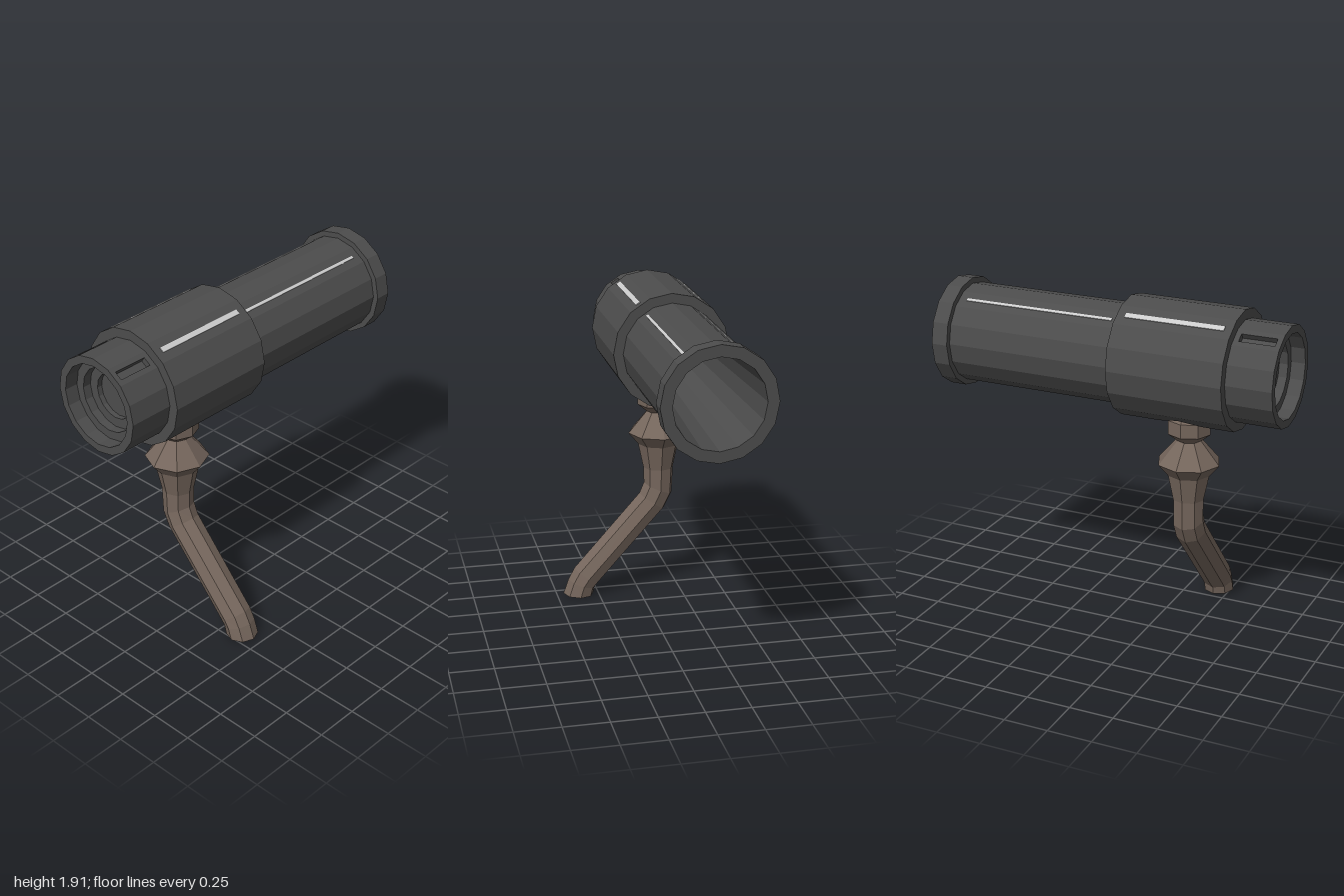
import * as THREE from 'three';

const AXIS_Y = 1.575, AXIS_Z = -0.125;   // barrel axis, running along x
const HANDLE_X = -0.43;
const SIDES = 16, STEP = Math.PI * 2 / SIDES;
const TUBE_R = 0.28, SLEEVE_R = 0.335;

const mat = (color, side = THREE.FrontSide) =>
  new THREE.MeshStandardMaterial({ color, flatShading: true, side });

// Collects quads (four [x,y,z] corners, counter-clockwise) into a geometry
function quadGeometry(quads) {
  const pos = [];
  for (const [a, b, c, d] of quads) pos.push(...a, ...b, ...c, ...a, ...c, ...d);
  const g = new THREE.BufferGeometry();
  g.setAttribute('position', new THREE.Float32BufferAttribute(pos, 3));
  g.computeVertexNormals();
  return g;
}

export function createModel() {
  const model = new THREE.Group();
  model.name = 'spyglassOnHandle';
  const metal = mat(0x4c4c4c), metalOpen = mat(0x4c4c4c, THREE.DoubleSide);
  const wood = mat(0x75665c), light = mat(0xcccccc);

  const barrel = new THREE.Group();
  barrel.name = 'barrel';
  barrel.position.set(0, AXIS_Y, AXIS_Z);
  model.add(barrel);

  const add = (parent, name, geometry, material) => {
    const m = new THREE.Mesh(geometry, material);
    m.name = name;
    parent.add(m);
    return m;
  };
  // Turned part along x from [radius, x] points
  const turned = (name, pts) => add(barrel, name,
    new THREE.LatheGeometry(pts.map(p => new THREE.Vector2(...p)), SIDES).rotateZ(-Math.PI / 2), metal);

  // Stepped eyepiece recess
  turned('eyepiece', [[0, -0.84], [0.13, -0.84], [0.13, -0.87], [0.185, -0.87],
    [0.185, -0.92], [0.235, -0.92], [0.235, -1], [TUBE_R, -1]]);
  // Main tube, muzzle ring and tapered bore
  turned('mainTube', [[TUBE_R, -0.74], [TUBE_R, 0.905], [0.312, 0.905], [0.312, 1],
    [0.248, 1], [0.193, -0.2], [0, -0.2]]);

  // Rear barrel end: flat panels, two of them with a slot
  const x0 = -1, x1 = -0.74, half = TUBE_R * Math.sin(STEP / 2);
  const rect = (T, a, b, h) => new T([[a, -h], [b, -h], [b, h], [a, h]].map(p => new THREE.Vector2(...p)));
  const tubeFlat = TUBE_R * Math.cos(STEP / 2), sleeveFlat = SLEEVE_R * Math.cos(STEP / 2);
  const facet = (k) => {
    const g = new THREE.Group();
    g.name = 'facet';
    g.rotation.x = (k + 0.5) * STEP;
    barrel.add(g);
    return g;
  };
  const pocketMat = mat(0x4c4c4c, THREE.BackSide);
  for (let k = 0; k < SIDES; k++) {
    const g = facet(k), shape = rect(THREE.Shape, x0, x1, half);
    if (k === 10 || k === 13) {
      shape.holes.push(rect(THREE.Path, -0.97, -0.77, 0.025));
      add(g, 'slotPocket', new THREE.BoxGeometry(0.2, 0.05, 0.034), pocketMat)
        .position.set(-0.87, 0, tubeFlat - 0.017);
      // Pale inlay lines on the sleeve and tube
      add(g, 'sleeveInlay', new THREE.BoxGeometry(0.565, 0.03, 0.008), light)
        .position.set(-0.4125, 0, sleeveFlat);
      add(g, 'tubeInlay', new THREE.BoxGeometry(0.89, 0.017, 0.008), light)
        .position.set(0.41, 0, tubeFlat);
    }
    add(g, 'endPanel', new THREE.ShapeGeometry(shape), metal).position.z = tubeFlat;
  }

  // Sleeve with a socket opening underneath; k counts corners from the bottom
  const sx0 = -0.74, sx1 = -0.08;
  const corner = (k, r) => [-r * Math.cos(k * STEP), r * Math.sin(k * STEP)];
  const point = (x, k, r) => {
    const f = Math.floor(k), t = k - f, a = corner(f, r), b = corner(f + 1, r);
    return [x, a[0] + (b[0] - a[0]) * t, a[1] + (b[1] - a[1]) * t];
  };
  const openWidth = k => (k === 0 ? 0.175 : Math.abs(k) === 1 ? 0.12 : 0);
  const ks = [-8, -7, -6, -5, -4, -3, -2, -1.43, -1, 0, 1, 1.43, 2, 3, 4, 5, 6, 7, 8];
  const shell = [], socket = [];
  for (let i = 0; i < ks.length - 1; i++) {
    const a = ks[i], b = ks[i + 1], wa = openWidth(a), wb = openWidth(b);
    const P = (x, k) => point(x, k, SLEEVE_R), Q = (x, k) => point(x, k, TUBE_R);
    for (const x of [sx0, sx1]) {
      const end = [Q(x, a), P(x, a), P(x, b), Q(x, b)];
      shell.push(x === sx0 ? end : end.reverse());
    }
    if (!wa && !wb) {
      shell.push([P(sx0, a), P(sx1, a), P(sx1, b), P(sx0, b)]);
      continue;
    }
    const la = HANDLE_X - wa, lb = HANDLE_X - wb, ra = HANDLE_X + wa, rb = HANDLE_X + wb;
    shell.push([P(sx0, a), P(la, a), P(lb, b), P(sx0, b)],
      [P(ra, a), P(sx1, a), P(sx1, b), P(rb, b)]);
    socket.push([P(la, a), Q(la, a), Q(lb, b), P(lb, b)],
      [P(ra, a), P(rb, b), Q(rb, b), Q(ra, a)]);
  }
  add(barrel, 'sleeve', quadGeometry(shell), metalOpen);
  add(barrel, 'socketWall', quadGeometry(socket), metalOpen);

  // Handle sections: [front y, front z, back y, back z, half width in x]
  const level = (y, r) => [y, AXIS_Z + r, y, AXIS_Z - r, r];
  const sections = [
    level(1.34, 0.001), level(1.3, 0.085), level(1.255, 0.125), level(1.175, 0.125),
    level(1.13, 0.07), level(1.0, 0.18), level(0.93, 0.122), level(0.78, 0.09),
    [0.685, -0.037, 0.615, -0.207, 0.09],
    [0.62, -0.01, 0.52, -0.16, 0.09],
    [0.17, 0.393, 0.07, 0.245, 0.09],
    [0.1, 0.43, 0.045, 0.27, 0.09],
    [0.01, 0.462, 0.0, 0.28, 0.09],
    [0.005, 0.371, 0.005, 0.371, 0],
  ];
  const N = 8;
  const rim = ([fy, fz, by, bz, w], j) => {
    const t = j / N * Math.PI * 2, c = Math.cos(t) / 2;
    return [HANDLE_X + w * Math.sin(t), (fy + by) / 2 + (fy - by) * c, (fz + bz) / 2 + (fz - bz) * c];
  };
  const skin = [];
  for (let i = 0; i < sections.length - 1; i++)
    for (let j = 0; j < N; j++)
      skin.push([rim(sections[i], j), rim(sections[i + 1], j),
        rim(sections[i + 1], j + 1), rim(sections[i], j + 1)]);
  add(model, 'handle', quadGeometry(skin), wood);

  return model;
}
